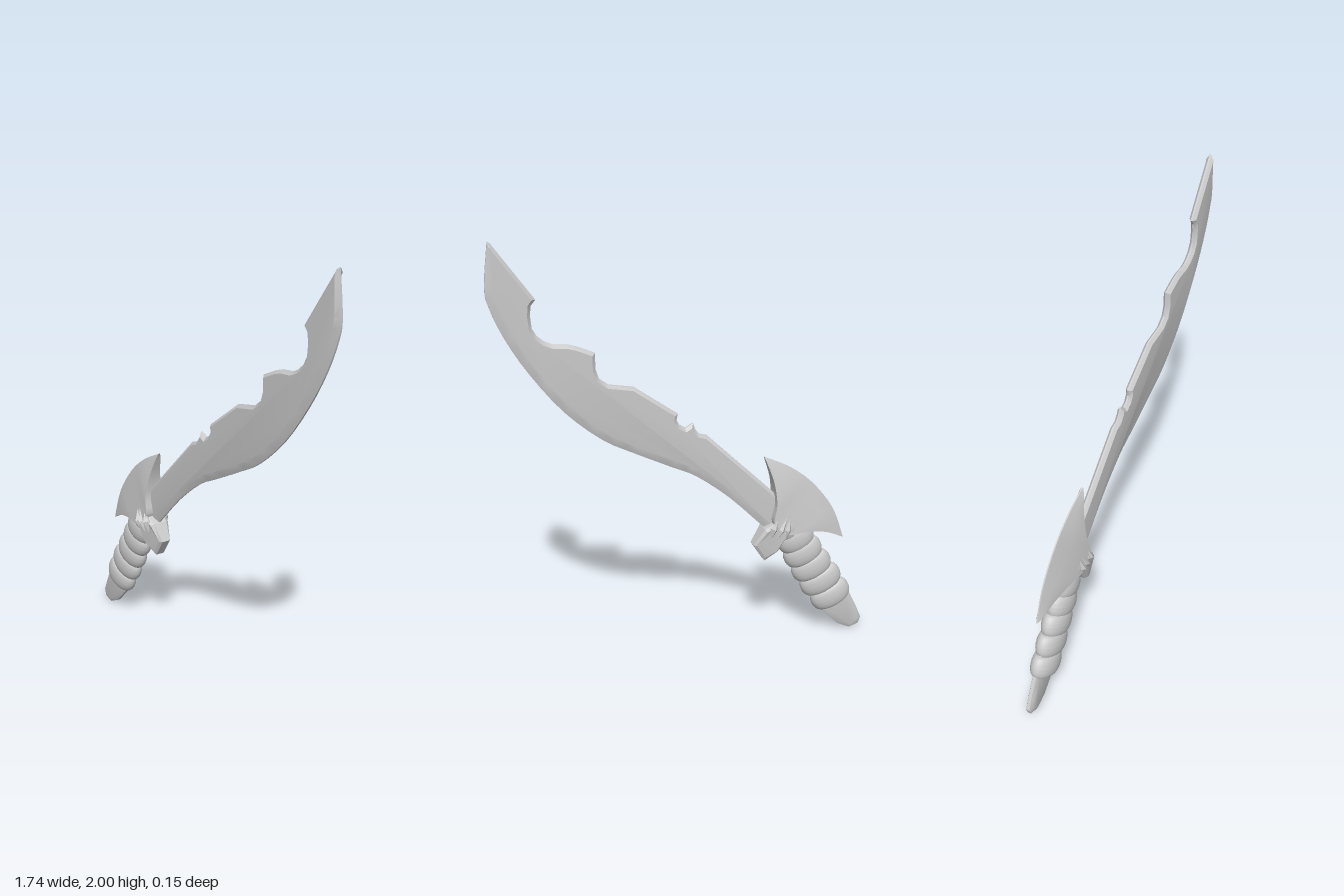
import * as THREE from 'three';
import { mergeVertices, toCreasedNormals } from 'three/addons/utils/BufferGeometryUtils.js';

const V2 = (p) => new THREE.Vector2(p[0], p[1]);

// Geometry from points and triangles, with smooth normals except across sharp edges
function surface(points, faces, crease) {
  const g = new THREE.BufferGeometry();
  g.setAttribute('position', new THREE.Float32BufferAttribute(points.flat(), 3));
  g.setIndex(faces.flat());
  return toCreasedNormals(mergeVertices(g, 1e-5), crease);
}

// Flat plate with a bevelled rim. Outline is counter-clockwise;
// width(i) is the bevel width and half(i) the half thickness at point i.
function plate(outline, width, half, rim, crease = 0.5) {
  const n = outline.length;
  const normal = (a, b) => new THREE.Vector2(a.y - b.y, b.x - a.x).normalize();
  const inner = outline.map((p, i) => {
    const n1 = normal(outline[(i + n - 1) % n], p);
    const n2 = normal(p, outline[(i + 1) % n]);
    const s = width(i) / Math.max(0.3, 1 + n1.dot(n2));
    return p.clone().addScaledVector(n1.add(n2), s);
  });
  const points = [
    ...inner.map((p, i) => [p.x, p.y, half(i)]),
    ...outline.map((p, i) => [p.x, p.y, rim(i)]),
    ...outline.map((p, i) => [p.x, p.y, -rim(i)]),
    ...inner.map((p, i) => [p.x, p.y, -half(i)]),
  ];
  const faces = [];
  for (const [a, b, c] of THREE.ShapeUtils.triangulateShape(inner, [])) {
    faces.push([a, b, c], [3 * n + a, 3 * n + c, 3 * n + b]);
  }
  for (let r = 0; r < 3; r++) {
    for (let i = 0; i < n; i++) {
      const j = (i + 1) % n;
      const a = r * n + i, b = r * n + j, c = a + n, d = b + n;
      faces.push([a, c, d], [a, d, b]);
    }
  }
  return surface(points, faces, crease);
}

export function createModel() {
  const group = new THREE.Group();
  const material = new THREE.MeshStandardMaterial({ color: 0xcccccc, side: THREE.DoubleSide });
  const add = (name, geometry, parent = group) => {
    const mesh = new THREE.Mesh(geometry, material);
    mesh.name = name;
    parent.add(mesh);
    return mesh;
  };

  // Blade: smooth cutting edge below, notched spine above
  const cuttingEdge = new THREE.SplineCurve([
    [-0.40, 0.56], [-0.35, 0.605], [-0.18, 0.775], [-0.02, 0.90], [0.09, 0.955], [0.27, 1.045],
    [0.405, 1.12], [0.565, 1.26], [0.705, 1.44], [0.80, 1.60], [0.855, 1.735], [0.867, 1.82], [0.845, 2.0],
  ].map(V2)).getPoints(36);
  const spine = [
    [0.832, 1.99], [0.665, 1.755], [0.685, 1.73], [0.69, 1.69], [0.685, 1.635], [0.665, 1.60], [0.635, 1.575],
    [0.60, 1.56], [0.54, 1.555], [0.50, 1.543], [0.425, 1.51], [0.425, 1.44], [0.41, 1.395], [0.37, 1.365],
    [0.26, 1.345], [0.065, 1.205], [0.07, 1.175], [0.055, 1.15], [0.03, 1.135], [-0.005, 1.155],
    [-0.015, 1.125], [-0.035, 1.10], [-0.07, 1.09], [-0.40, 0.77], [-0.45, 0.72],
  ].map(V2);
  const edgeCount = cuttingEdge.length;
  add('blade', plate(
    [...cuttingEdge, ...spine],
    (i) => (i < edgeCount ? Math.min(0.032, 0.012 + (edgeCount - 1 - i) * 0.004) : 0.014),
    () => 0.017, () => 0.004,
  ));

  // Pommel: flat end of the tang
  const pommel = [
    [-0.56, 0.28], [-0.72, 0.34], [-0.80, 0.20], [-0.845, 0.11], [-0.87, 0.05],
    [-0.857, 0.018], [-0.81, 0.003], [-0.745, 0.035], [-0.665, 0.115], [-0.64, 0.15],
  ].map(V2);
  add('pommel', plate(pommel, () => 0.018, () => 0.017, () => 0.008));

  // Grip: a stack of rounded oval rings
  const grip = new THREE.Group();
  grip.name = 'grip';
  group.add(grip);
  const ringProfile = [new THREE.Vector2(0, -0.051)];
  for (let k = 0; k <= 12; k++) {
    const a = (k / 12 - 0.5) * 2.8;
    ringProfile.push(new THREE.Vector2(0.7 + 0.3 * Math.cos(a), 0.052 * Math.sin(a)));
  }
  ringProfile.push(new THREE.Vector2(0, 0.051));
  const ringGeometry = toCreasedNormals(new THREE.LatheGeometry(ringProfile, 32), 0.7);
  const rings = [
    [-0.702, 0.205, 0.102], [-0.648, 0.29, 0.106], [-0.597, 0.372, 0.102],
    [-0.550, 0.452, 0.098], [-0.510, 0.53, 0.093], [-0.462, 0.595, 0.075],
  ];
  for (const [x, y, r] of rings) {
    const ring = add('gripRing', ringGeometry, grip);
    ring.position.set(x, y, 0);
    ring.scale.set(r, 1, 0.055);
    ring.rotation.z = -0.42;
  }

  // Guard: crescent wing, sharp along its outer curve and thick along its inner one
  const outer = new THREE.SplineCurve([
    [-0.755, 0.50], [-0.715, 0.617], [-0.665, 0.707], [-0.575, 0.813], [-0.47, 0.893], [-0.345, 0.955],
  ].map(V2));
  const inner = new THREE.SplineCurve([
    [-0.755, 0.50], [-0.655, 0.55], [-0.55, 0.572], [-0.46, 0.572], [-0.385, 0.63],
    [-0.398, 0.73], [-0.385, 0.84], [-0.345, 0.955],
  ].map(V2));
  const steps = 28, points = [], faces = [];
  for (let k = 0; k <= steps; k++) {
    const t = k / steps;
    const o = outer.getPoint(t), i = inner.getPoint(t);
    const w = 0.004 + 0.054 * Math.pow(Math.sin(Math.PI * t), 0.9);
    const section = [[0, w], [0.35, 0.8 * w], [0.7, 0.45 * w], [1, 0.003],
      [1, -0.003], [0.7, -0.45 * w], [0.35, -0.8 * w], [0, -w]];
    for (const [s, z] of section) {
      const p = i.clone().lerp(o, s);
      points.push([p.x, p.y, z]);
    }
    if (k === steps) break;
    for (let m = 0; m < 8; m++) {
      const a = k * 8 + m, b = k * 8 + ((m + 1) % 8);
      faces.push([a, a + 8, b + 8], [a, b + 8, b]);
    }
  }
  add('guardWing', surface(points, faces, 0.6));

  // Guard block below the blade, narrowing towards its free end
  const block = [[-0.41, 0.485], [-0.35, 0.44], [-0.295, 0.525], [-0.345, 0.605], [-0.40, 0.64], [-0.46, 0.57]].map(V2);
  const blockHalf = [0.05, 0.03, 0.03, 0.05, 0.058, 0.058];
  add('guardBlock', plate(block, () => 0.012, (i) => blockHalf[i], (i) => blockHalf[i] * 0.7, 0.2));

  // Small faceted claws gripping both faces of the guard
  const claws = new THREE.Group();
  claws.name = 'claws';
  group.add(claws);
  const clawGeometry = new THREE.OctahedronGeometry(1).toNonIndexed();
  clawGeometry.computeVertexNormals();
  for (const side of [-1, 1]) {
    for (const [x, y, length, turn] of [
      [-0.452, 0.595, 0.055, 0.25], [-0.42, 0.60, 0.062, 0.45], [-0.385, 0.61, 0.055, 0.3],
    ]) {
      const claw = add('claw', clawGeometry, claws);
      claw.position.set(x, y, side * 0.05);
      claw.scale.set(0.02, length, 0.023);
      claw.rotation.z = turn;
    }
  }
  return group;
}
